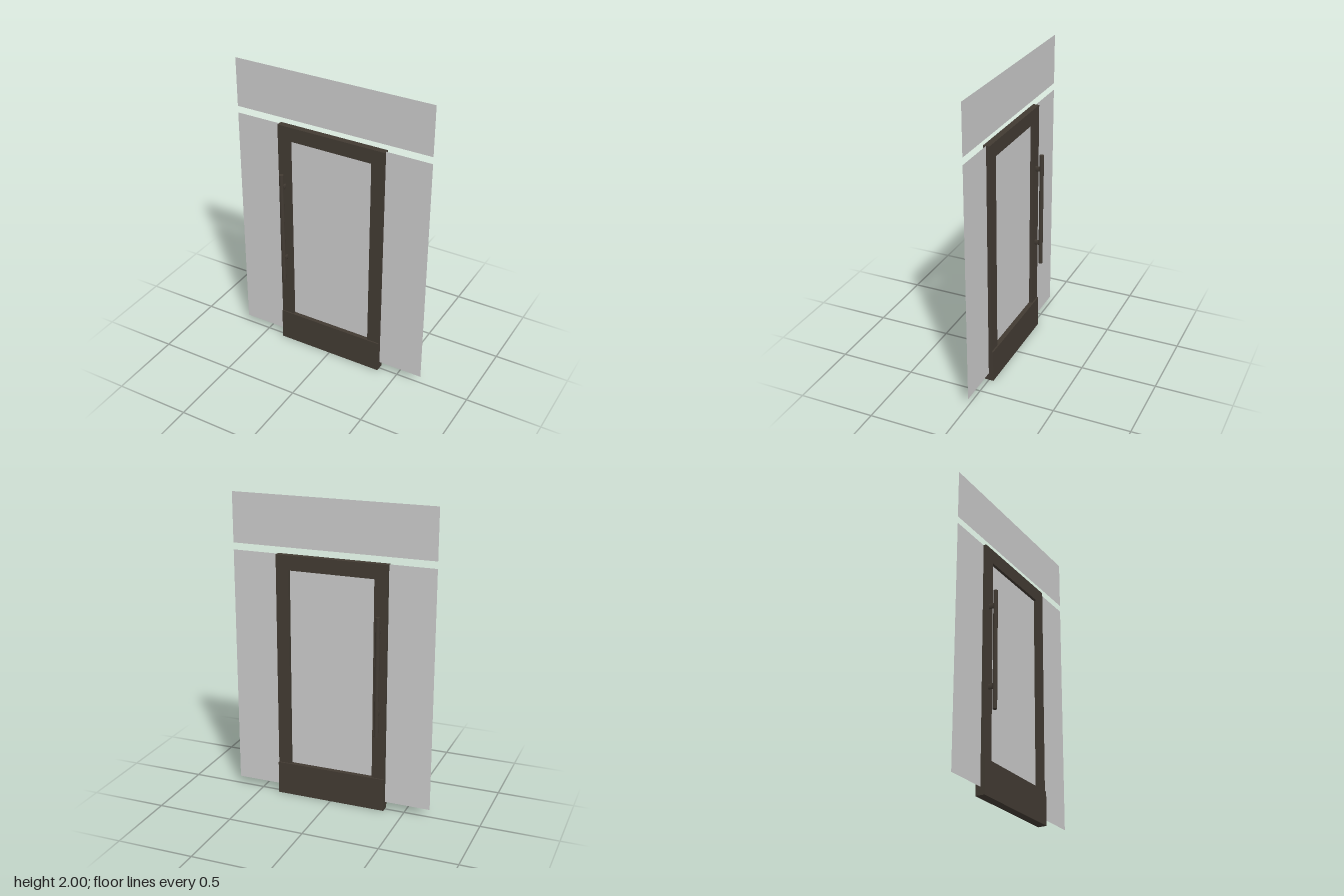
import * as THREE from 'three';

export function createModel() {
  const model = new THREE.Group();
  model.name = 'glassEntrance';
  const bronze = new THREE.MeshStandardMaterial({ color: 0x413a32 });
  bronze.name = 'dark bronze';
  const glass = new THREE.MeshStandardMaterial({ color: 0xc8c8c8, side: THREE.DoubleSide });
  glass.name = 'grey glass';

  const add = (parent, name, geometry, material, x, y, z) => {
    const mesh = new THREE.Mesh(geometry, material);
    mesh.name = name;
    mesh.position.set(x, y, z);
    parent.add(mesh);
    return mesh;
  };
  // Flat sheet of glass between two corners
  const pane = (name, x0, x1, y0, y1) =>
    add(model, name, new THREE.PlaneGeometry(x1 - x0, y1 - y0), glass, (x0 + x1) / 2, (y0 + y1) / 2, 0);

  const W = 0.369, OPEN = 0.283, RAIL = 0.22, TOP = 1.63;

  // Fixed glazing around the door and the pane inside it
  pane('transomGlass', -0.67, 0.67, 1.675, 2);
  pane('rightSideGlass', -0.67, -W, 0.05, TOP);
  pane('leftSideGlass', W, 0.67, 0.05, TOP);
  pane('doorGlass', -OPEN, OPEN, RAIL, 1.535);

  // Door frame: stiles and top rail in one piece
  const outline = new THREE.Shape([
    [-W, RAIL], [-OPEN, RAIL], [-OPEN, 1.535], [OPEN, 1.535],
    [OPEN, RAIL], [W, RAIL], [W, TOP], [-W, TOP],
  ].map(([x, y]) => new THREE.Vector2(x, y)));
  add(model, 'doorFrame', new THREE.ExtrudeGeometry(outline, { depth: 0.041, bevelEnabled: false }),
    bronze, 0, 0, -0.022);

  // Thicker bottom rail
  add(model, 'bottomRail', new THREE.BoxGeometry(2 * W, RAIL, 0.06), bronze, 0, RAIL / 2, -0.002);

  // Pull handles on both faces, joined by through brackets
  const handle = new THREE.Group();
  handle.name = 'pullHandle';
  handle.position.x = -0.323;
  model.add(handle);
  for (const side of [1, -1]) {
    add(handle, side > 0 ? 'frontBar' : 'backBar',
      new THREE.CylinderGeometry(0.014, 0.014, 0.785, 24), bronze, 0, 0.9175, side * 0.0635);
  }
  for (const y of [0.675, 1.21]) {
    const bracket = new THREE.CylinderGeometry(0.018, 0.018, 0.12, 20);
    bracket.rotateX(Math.PI / 2).scale(0.35, 1, 1);
    add(handle, 'handleBracket', bracket, bronze, 0, y, 0);
  }
  return model;
}
